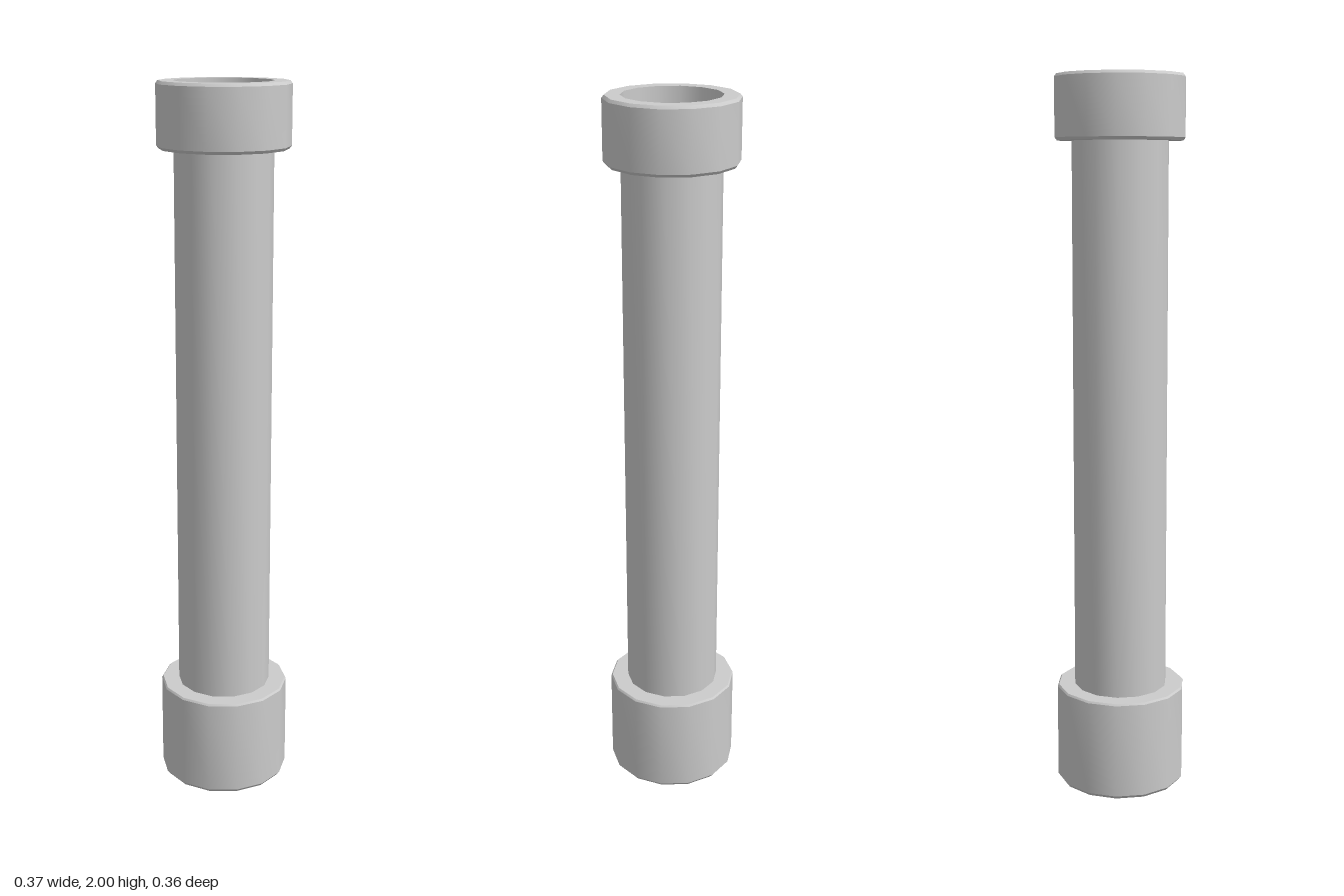
import * as THREE from 'three';
import { toCreasedNormals } from 'three/addons/utils/BufferGeometryUtils.js';

const SIDES = 14;
const BORE = 0.133;

export function createModel() {
  const group = new THREE.Group();
  const material = new THREE.MeshStandardMaterial({ color: 0xcccccc, side: THREE.DoubleSide });

  // Revolve a [radius, height] profile, listed from bottom to top
  function addRing(name, profile) {
    const points = profile.map(([r, y]) => new THREE.Vector2(r, y));
    const geometry = new THREE.LatheGeometry(points, SIDES, Math.PI / 2);
    const mesh = new THREE.Mesh(toCreasedNormals(geometry, 0.6), material);
    mesh.name = name;
    group.add(mesh);
  }

  // Collar with a flat ring at each end and small chamfers
  function addCollar(name, radius, y0, y1, bevelBottom, bevelTop) {
    addRing(name, [
      [BORE, y0],
      [radius - bevelBottom, y0],
      [radius, y0 + bevelBottom * 1.3],
      [radius, y1 - bevelTop * 1.3],
      [radius - bevelTop, y1],
      [BORE, y1],
    ]);
  }

  // Open thin-walled pipe running the full height
  addRing('pipe', [[BORE, 0], [BORE, 2]]);
  addCollar('bottomCollar', 0.184, 0, 0.285, 0.007, 0.004);
  addCollar('topCollar', 0.179, 1.826, 2, 0.006, 0.006);

  return group;
}
